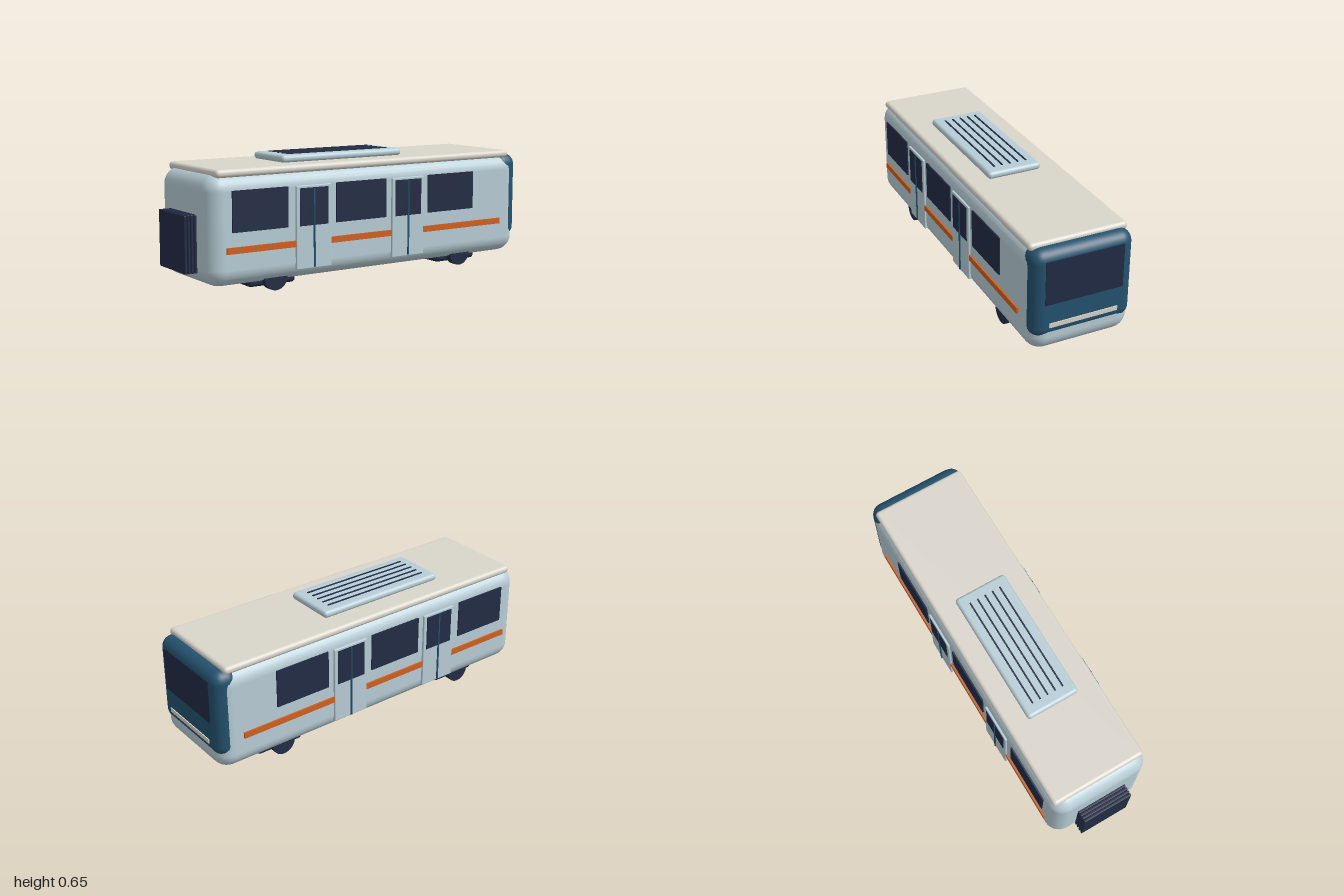
import * as THREE from 'three';
import { RoundedBoxGeometry } from 'three/addons/geometries/RoundedBoxGeometry.js';

export function createModel() {
  const material = (name, color) => {
    const m = new THREE.MeshStandardMaterial({ color });
    m.name = name;
    return m;
  };
  const shell = material('pale blue shell', 0xb8cdd6);
  const cream = material('warm white', 0xd9d5cb);
  const teal = material('deep blue', 0x24536f);
  const navy = material('dark navy', 0x222c45);
  const orange = material('orange', 0xd2611f);

  const model = new THREE.Group();
  model.name = 'railcar';

  const add = (name, geometry, mat, x, y, z) => {
    const mesh = new THREE.Mesh(geometry, mat);
    mesh.name = name;
    mesh.position.set(x, y, z);
    model.add(mesh);
    return mesh;
  };
  // Boxes are given by their limits along each axis; radius 0 means sharp edges
  const box = (name, mat, [x0, x1], [y0, y1], [z0, z1], radius = 0, segments = 3) => {
    const size = [x1 - x0, y1 - y0, z1 - z0];
    const geometry = radius
      ? new RoundedBoxGeometry(...size, segments, radius)
      : new THREE.BoxGeometry(...size);
    return add(name, geometry, mat, (x0 + x1) / 2, (y0 + y1) / 2, (z0 + z1) / 2);
  };

  // Main shell, nose cap and roof
  box('body', shell, [-0.935, 0.99], [0.048, 0.592], [-0.27, 0.27], 0.085, 4);
  box('noseCap', teal, [0.855, 0.995], [0.126, 0.592], [-0.265, 0.265], 0.06, 4);
  box('roof', cream, [-0.888, 0.932], [0.573, 0.613], [-0.257, 0.257], 0.019);

  // Nose details
  box('windshield', navy, [0.989, 0.998], [0.315, 0.543], [-0.204, 0.204]);
  box('lightBar', cream, [0.991, 1.0], [0.19, 0.213], [-0.18, 0.18]);

  // Roof unit with vent slats
  box('roofUnit', shell, [-0.46, 0.275], [0.611, 0.649], [-0.145, 0.145], 0.018);
  for (let i = -2; i <= 2; i++) {
    const z = i * 0.0435;
    box('ventSlat', navy, [-0.402, 0.216], [0.645, 0.653], [z - 0.004, z + 0.004]);
  }

  // Both long sides: windows, stripe and double doors
  for (const side of [1, -1]) {
    const span = (a, b) => (side > 0 ? [a, b] : [-b, -a]);
    for (const x of [-0.6625, -0.0725, 0.5075]) {
      box('sideWindow', navy, [x - 0.1535, x + 0.1535], [0.313, 0.513], span(0.268, 0.277));
    }
    box('sideStripe', orange, [-0.847, 0.857], [0.212, 0.243], span(0.27, 0.279));
    for (const x of [-0.363, 0.218]) {
      box('door', shell, [x - 0.102, x + 0.102], [0.098, 0.512], span(0.264, 0.281), 0.004, 2);
      box('doorWindow', navy, [x - 0.083, x + 0.083], [0.313, 0.5], span(0.276, 0.284));
      box('doorSeam', teal, [x - 0.004, x + 0.004], [0.104, 0.495], span(0.279, 0.287));
    }
  }

  // Pleated gangway at the rear
  box('gangwayCore', navy, [-0.99, -0.925], [0.13, 0.375], [-0.118, 0.118]);
  for (let i = 0; i < 4; i++) {
    const x = -1 + i * 0.0175;
    box('gangwayPleat', navy, [x, x + 0.0135], [0.111, 0.394], [-0.138, 0.138], 0.004, 2);
  }

  // Two bogies, each with a pair of wheels
  for (const x of [-0.557, 0.606]) {
    box('bogie', navy, [x - 0.134, x + 0.134], [0.021, 0.081], [-0.205, 0.205], 0.02);
    for (const side of [1, -1]) {
      const wheel = new THREE.CylinderGeometry(0.065, 0.065, 0.038, 28).rotateX(Math.PI / 2);
      add('wheel', wheel, navy, x, 0.065, side * 0.218);
    }
  }

  return model;
}
